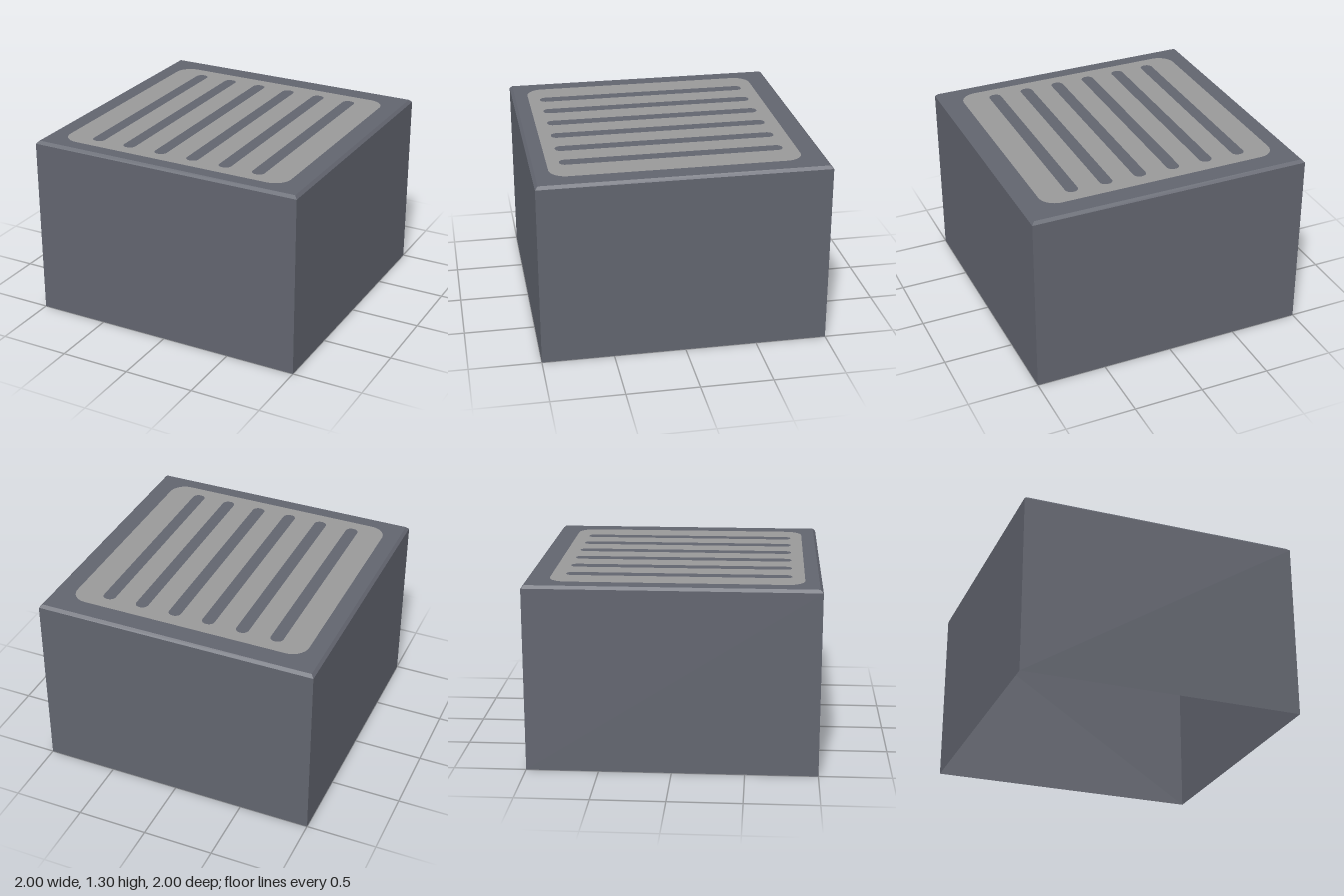
import * as THREE from 'three';

const TOP = 1.3, RIM = 1.28, INNER = 0.98;

// Rounded rectangle outline; works for Shape and Path
function roundedRect(path, x0, y0, x1, y1, r) {
  path.absarc(x1 - r, y0 + r, r, -Math.PI / 2, 0);
  path.absarc(x1 - r, y1 - r, r, 0, Math.PI / 2);
  path.absarc(x0 + r, y1 - r, r, Math.PI / 2, Math.PI);
  path.absarc(x0 + r, y0 + r, r, Math.PI, Math.PI * 1.5);
  path.closePath();
  return path;
}

// Open square ring of four flat walls
function squareRing(halfTop, halfBottom, y0, y1) {
  const ring = new THREE.CylinderGeometry(halfTop * Math.SQRT2, halfBottom * Math.SQRT2, y1 - y0, 4, 1, true);
  ring.rotateY(Math.PI / 4).translate(0, (y0 + y1) / 2, 0);
  const flat = ring.toNonIndexed();
  flat.computeVertexNormals();
  return flat;
}

// Flat face lying on the top; shape y runs towards -z
function topFace(shapes) {
  return new THREE.ShapeGeometry(shapes, 8).rotateX(-Math.PI / 2).translate(0, TOP, 0);
}

export function createModel() {
  const group = new THREE.Group();
  const slate = new THREE.MeshStandardMaterial({ color: 0x62656f, side: THREE.DoubleSide });
  slate.name = 'slate';
  const grey = new THREE.MeshStandardMaterial({ color: 0x999999, side: THREE.DoubleSide });
  grey.name = 'grey';

  const add = (name, geometry, material) => {
    const mesh = new THREE.Mesh(geometry, material);
    mesh.name = name;
    group.add(mesh);
  };

  // Hollow box, open underneath, with a bevelled upper rim
  add('walls', squareRing(1, 1, 0, RIM), slate);
  add('bevel', squareRing(INNER, 1, RIM, TOP), slate);

  // Top border around the panel
  const panelOutline = (path) => roundedRect(path, -0.865, -0.885, 0.85, 0.84, 0.12);
  const border = new THREE.Shape([
    new THREE.Vector2(-INNER, -INNER), new THREE.Vector2(INNER, -INNER),
    new THREE.Vector2(INNER, INNER), new THREE.Vector2(-INNER, INNER),
  ]);
  border.holes.push(panelOutline(new THREE.Path()));
  add('topBorder', topFace(border), slate);

  // Grey panel with six long slots filled in the body colour
  const panel = panelOutline(new THREE.Shape());
  const slots = [];
  for (let i = 0; i < 6; i++) {
    const x = -0.632 + i * 0.248;
    const slot = (path) => roundedRect(path, x - 0.045, -0.8, x + 0.045, 0.745, 0.042);
    panel.holes.push(slot(new THREE.Path()));
    slots.push(slot(new THREE.Shape()));
  }
  add('grillePanel', topFace(panel), grey);
  add('grilleSlots', topFace(slots), slate);

  return group;
}
